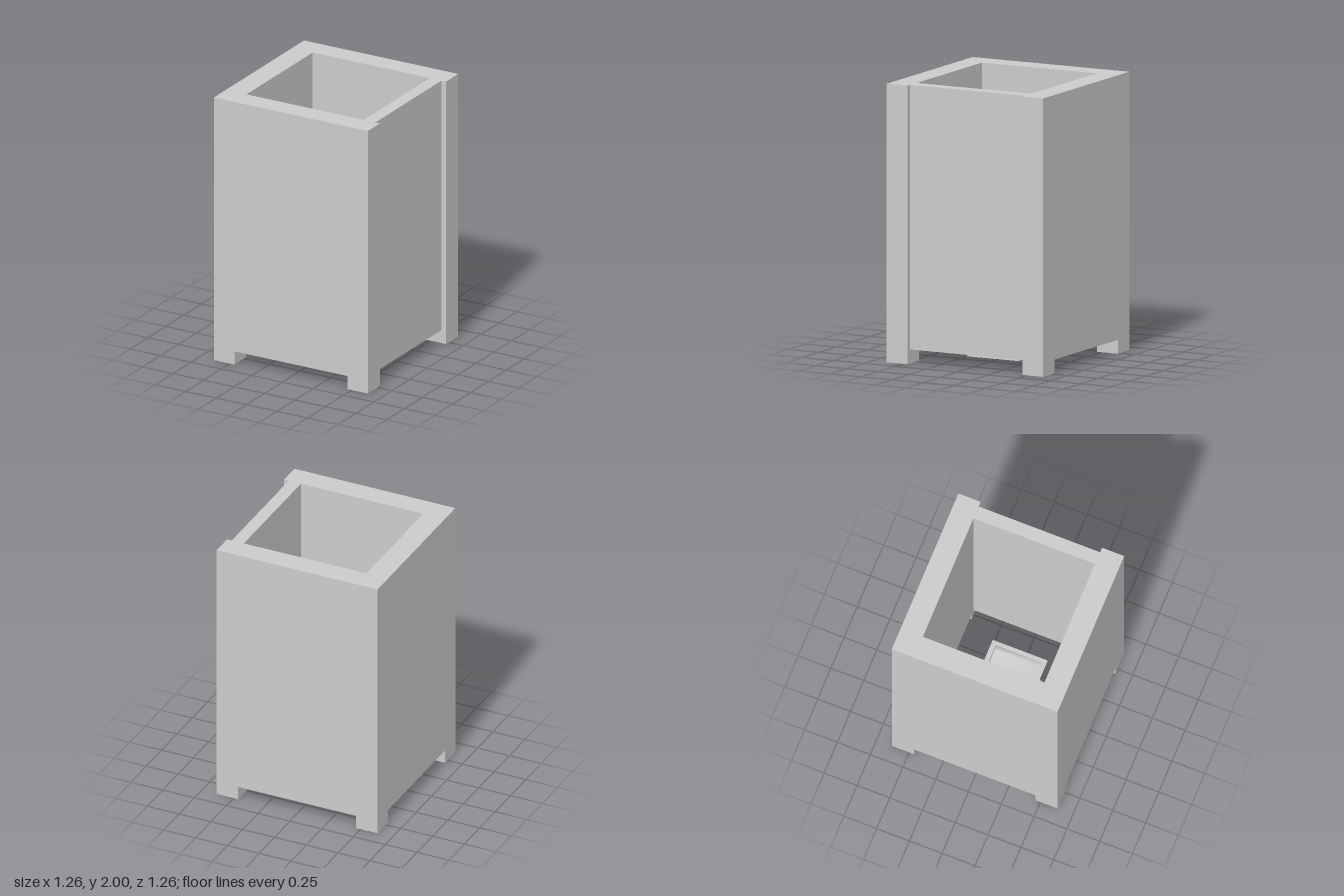
import * as THREE from 'three';

const material = new THREE.MeshStandardMaterial({ color: 0xcccccc });

function add(group, name, geometry, x = 0, y = 0, z = 0) {
  const mesh = new THREE.Mesh(geometry, material);
  mesh.name = name;
  mesh.position.set(x, y, z);
  group.add(mesh);
  return mesh;
}

// Box given by its lower and upper corners
function addBox(group, name, [x0, y0, z0], [x1, y1, z1]) {
  const box = new THREE.BoxGeometry(x1 - x0, y1 - y0, z1 - z0);
  return add(group, name, box, (x0 + x1) / 2, (y0 + y1) / 2, (z0 + z1) / 2);
}

// Skin through rectangular rings [y, x0, x1, z0, z1], with optional end caps
function loftRects(rings, { bottom = false, top = false, smooth = false } = {}) {
  const positions = rings.flatMap(([y, x0, x1, z0, z1]) => [x0, y, z0, x0, y, z1, x1, y, z1, x1, y, z0]);
  const index = [];
  for (let r = 0; r < rings.length - 1; r++) {
    for (let i = 0; i < 4; i++) {
      const a = r * 4 + i, b = r * 4 + (i + 1) % 4;
      index.push(a, b, b + 4, a, b + 4, a + 4);
    }
  }
  if (bottom) index.push(0, 2, 1, 0, 3, 2);
  const t = (rings.length - 1) * 4;
  if (top) index.push(t, t + 1, t + 2, t, t + 2, t + 3);
  let geometry = new THREE.BufferGeometry();
  geometry.setAttribute('position', new THREE.Float32BufferAttribute(positions, 3));
  geometry.setIndex(index);
  if (!smooth) geometry = geometry.toNonIndexed();
  geometry.computeVertexNormals();
  return geometry;
}

export function createModel() {
  const model = new THREE.Group();
  model.name = 'cabin';
  const O = 0.632, I = 0.463, legHeight = 0.1;

  // Four walls as one plan, with the +x panel set back between the corners
  const plan = new THREE.Shape([
    [-O, -O], [O, -O], [O, -I], [0.595, -I], [0.595, I], [O, I], [O, O], [-O, O],
  ].map(([x, y]) => new THREE.Vector2(x, y)));
  plan.holes.push(new THREE.Path([
    [-I, -I], [-I, I], [0.5, I], [0.5, -I],
  ].map(([x, y]) => new THREE.Vector2(x, y))));
  const walls = new THREE.ExtrudeGeometry(plan, { depth: 2 - legHeight, bevelEnabled: false });
  walls.rotateX(-Math.PI / 2);
  add(model, 'walls', walls, 0, legHeight, 0);

  // Square feet under the corners
  const foot = new THREE.BoxGeometry(O - I, legHeight, O - I);
  for (const sx of [-1, 1]) {
    for (const sz of [-1, 1]) {
      add(model, 'foot', foot, sx * (O + I) / 2, legHeight / 2, sz * (O + I) / 2);
    }
  }

  // Toilet inside: waisted pedestal, recessed basin and rear tank
  const toilet = new THREE.Group();
  toilet.name = 'toilet';
  model.add(toilet);
  const rimY = 0.55;
  const opening = [rimY, -0.28, 0.16, -0.16, 0.195];
  add(toilet, 'pedestal', loftRects([
    [0.01, -0.46, 0.19, -0.192, 0.227],
    [0.29, -0.42, 0.145, -0.115, 0.15],
    [rimY, -0.46, 0.19, -0.192, 0.227],
    opening,
  ], { bottom: true }));
  add(toilet, 'basin', loftRects([
    opening,
    [rimY - 0.09, -0.275, 0.155, -0.155, 0.19],
  ], { top: true, smooth: true }));
  addBox(toilet, 'tank', [-0.46, rimY, -0.192], [-0.31, 0.9, 0.227]);

  return model;
}
